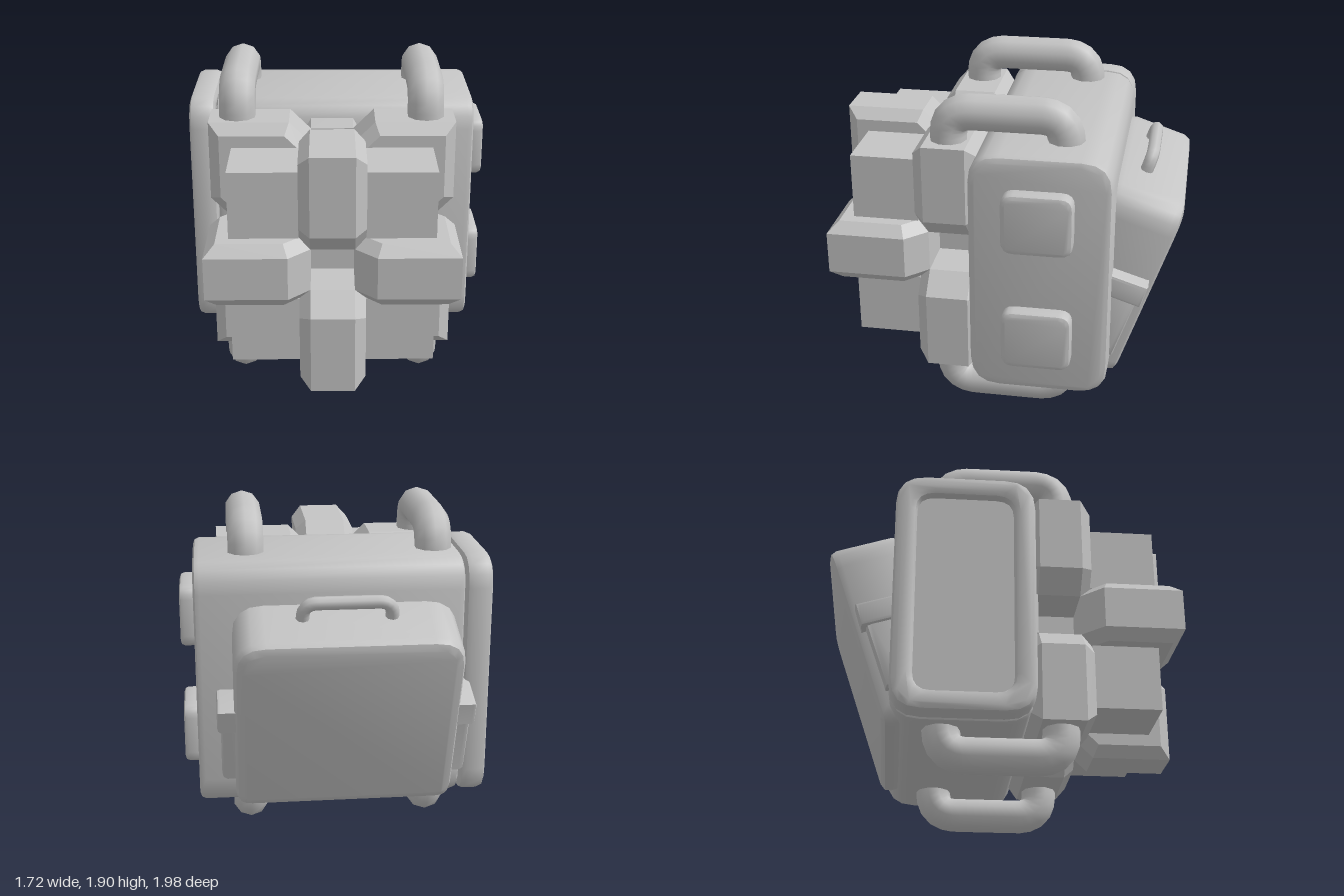
import * as THREE from 'three';
import { toCreasedNormals } from 'three/addons/utils/BufferGeometryUtils.js';

const CX = -0.0375, CY = 0.945, CZ = 0.3165; // centre of the block cluster

// Rectangle with rounded corners; rTop and rBottom are the corner radii
function roundRect(x0, x1, y0, y1, rTop, rBottom = rTop, Kind = THREE.Shape) {
  const s = new Kind();
  s.moveTo(x0 + rBottom, y0);
  s.lineTo(x1 - rBottom, y0);
  s.quadraticCurveTo(x1, y0, x1, y0 + rBottom);
  s.lineTo(x1, y1 - rTop);
  s.quadraticCurveTo(x1, y1, x1 - rTop, y1);
  s.lineTo(x0 + rTop, y1);
  s.quadraticCurveTo(x0, y1, x0, y1 - rTop);
  s.lineTo(x0, y0 + rBottom);
  s.quadraticCurveTo(x0, y0, x0 + rBottom, y0);
  return s;
}

// Extrusion from z = 0 to z = depth whose bevel stays inside the outline
function slab(shape, depth, bevel, bevelSegments = 2, curveSegments = 4) {
  const g = new THREE.ExtrudeGeometry(shape, {
    depth: depth - 2 * bevel, bevelEnabled: true, bevelThickness: bevel, bevelSize: bevel,
    bevelOffset: -bevel, bevelSegments, curveSegments,
  });
  return g.translate(0, 0, bevel);
}

// Slab whose outline lies in (-z, y), running from x0 to x1
function sideSlab(shape, x0, x1, bevel, bevelSegments) {
  const g = slab(shape, x1 - x0, bevel, bevelSegments).rotateY(Math.PI / 2).translate(x0, 0, 0);
  return toCreasedNormals(g, 0.7);
}

// Tube through points with softened corners
function bentTube(points, radius, cut, sides) {
  const path = new THREE.CurvePath();
  let last = points[0];
  for (let i = 1; i < points.length - 1; i++) {
    const p = points[i];
    const a = p.clone().add(points[i - 1].clone().sub(p).setLength(cut));
    const b = p.clone().add(points[i + 1].clone().sub(p).setLength(cut));
    path.add(new THREE.LineCurve3(last, a));
    path.add(new THREE.QuadraticBezierCurve3(a, p, b));
    last = b;
  }
  path.add(new THREE.LineCurve3(last, points[points.length - 1]));
  return new THREE.TubeGeometry(path, 28, radius, sides, false);
}

export function createModel() {
  const root = new THREE.Group();
  const grey = new THREE.MeshStandardMaterial({ color: 0xc4c4c4 });
  const add = (name, geometry, parent = root) => {
    const mesh = new THREE.Mesh(geometry, grey);
    mesh.name = name;
    parent.add(mesh);
    return mesh;
  };

  // Case body
  add('caseBody', sideSlab(roundRect(-0.16, 0.62, 0.24, 1.66, 0.17), -0.705, 0.78, 0.035));

  // Side lid with a sunken panel
  const lid = roundRect(-0.16, 0.62, 0.24, 1.66, 0.17);
  lid.holes.push(roundRect(-0.04, 0.5, 0.36, 1.54, 0.1, 0.1, THREE.Path));
  add('sideLid', sideSlab(lid, -0.86, -0.712, 0.035));
  add('sidePanel', sideSlab(roundRect(-0.09, 0.55, 0.31, 1.59, 0.1), -0.81, -0.69, 0.01, 1));

  // Two raised buttons on the other side
  for (const y of [0.425, 1.13])
    add('sideButton', sideSlab(roundRect(0.03, 0.42, y, y + 0.35, 0.07), 0.74, 0.86, 0.025));

  // Cluster: core, corner cubes and chamfered edge blocks
  const cluster = new THREE.Group();
  cluster.name = 'blockCluster';
  cluster.position.set(CX, CY, CZ);
  root.add(cluster);
  add('core', new THREE.BoxGeometry(0.6, 0.6, 0.6), cluster);
  for (const x of [-1, 1]) for (const y of [-1, 1]) for (const z of [-1, 1])
    add('cornerCube', new THREE.BoxGeometry(0.375, 0.375, 0.375), cluster)
      .position.set(x, y, z).multiplyScalar(0.3675);

  const outline = new THREE.Shape([
    [0.12, 0.12], [0.565, 0.12], [0.6825, 0.2375], [0.6825, 0.6825], [0.2375, 0.6825], [0.12, 0.565],
  ].map(([u, v]) => new THREE.Vector2(u, v)));
  const turns = [[0, 0], [Math.PI / 2, 0], [0, Math.PI / 2]]; // long way along z, y and x
  for (const [rx, ry] of turns) for (let i = 0; i < 4; i++) {
    const block = slab(outline, 0.36, 0.06, 1).translate(0, 0, -0.18);
    block.rotateZ(i * Math.PI / 2).rotateX(rx).rotateY(ry);
    add('edgeBlock', block, cluster);
  }

  // Four thick handles, above and below
  for (const x of [-0.565, 0.485]) for (const s of [1, -1]) {
    const points = [[0.55, 0.315], [0.845, 0.315], [0.845, -0.335], [0.55, -0.335]]
      .map(([y, z]) => new THREE.Vector3(x, CY + s * y, z));
    add('carryHandle', bentTube(points, 0.104, 0.14, 10));
  }

  // Tilted pack at the back with its own small handle
  const pack = new THREE.Group();
  pack.name = 'backPack';
  pack.position.set(CX, 0.24, -0.64);
  pack.rotation.x = -0.325;
  root.add(pack);
  const shell = slab(roundRect(-0.615, 0.615, 0, 1.13, 0.17, 0.09), 0.42, 0.05);
  add('packShell', toCreasedNormals(shell, 0.7), pack);
  const grip = [[-0.24, 1.08], [-0.24, 1.225], [0.24, 1.225], [0.24, 1.08]]
    .map(([x, y]) => new THREE.Vector3(x, y, 0.255));
  add('packHandle', bentTube(grip, 0.037, 0.08, 8), pack);

  // Pockets and straps standing out at both sides of the pack
  const pocket = new THREE.Shape([
    [0.5, 0.42], [0.635, 0.42], [0.765, 0.8], [0.5, 0.88],
  ].map(([a, b]) => new THREE.Vector2(a, b)));
  const strap = new THREE.Shape([
    [0.5, 0.85], [0.78, 0.76], [0.82, 0.89], [0.5, 0.99],
  ].map(([a, b]) => new THREE.Vector2(a, b)));
  add('sidePockets', sideSlab(pocket, CX - 0.69, CX + 0.69, 0.03));
  add('sideStraps', sideSlab(strap, CX - 0.71, CX + 0.71, 0.02));

  return root;
}
